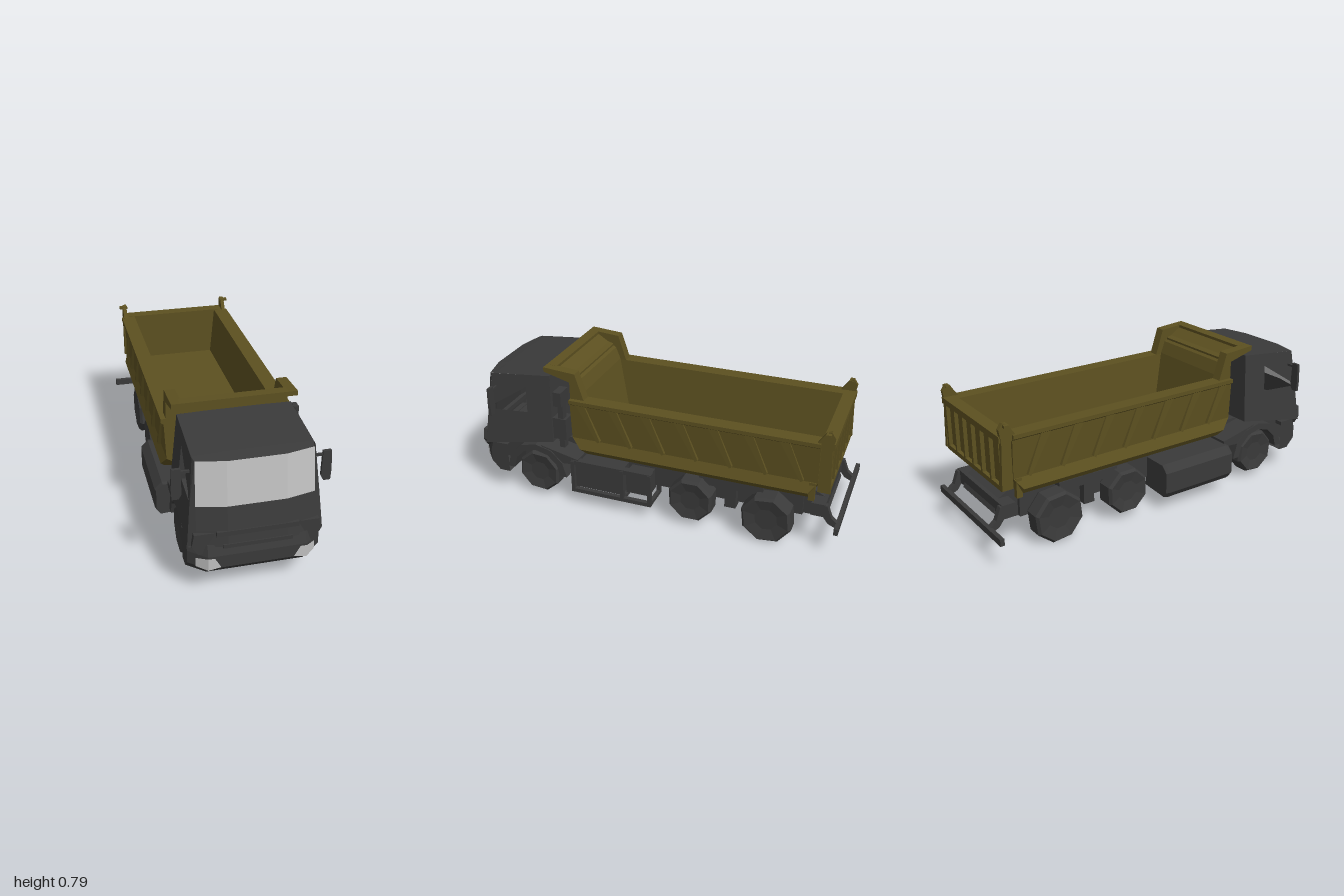
import * as THREE from 'three';

const D = THREE.DoubleSide;
const mat = (name, color) => {
  const m = new THREE.MeshStandardMaterial({ color, side: D, flatShading: true });
  m.name = name;
  return m;
};

export function createModel() {
  const truck = new THREE.Group();
  truck.name = 'dumpTruck';
  const grey = mat('darkGrey', 0x3a3a3a);
  const olive = mat('olive', 0x5c5020);
  const glass = mat('paleGlass', 0xc0c0c0);

  const add = (name, geo, material) => {
    const m = new THREE.Mesh(geo, material);
    m.name = name;
    truck.add(m);
    return m;
  };
  // box given by its minimum and maximum on each axis
  const box = (name, material, x0, x1, y0, y1, z0, z1) => {
    const m = add(name, new THREE.BoxGeometry(x1 - x0, y1 - y0, z1 - z0), material);
    m.position.set((x0 + x1) / 2, (y0 + y1) / 2, (z0 + z1) / 2);
    return m;
  };
  const shapeOf = pts => new THREE.Shape(pts.map(p => new THREE.Vector2(...p)));
  // side outline of [z, y] points, extruded from x0 to x1
  const profile = (name, material, pts, x0, x1) => {
    const g = new THREE.ExtrudeGeometry(shapeOf(pts), { depth: x1 - x0, bevelEnabled: false });
    g.rotateY(-Math.PI / 2).translate(x1, 0, 0);
    return add(name, g, material);
  };
  // surface through rows of [x, y, z] points
  const loft = (name, material, rows) => {
    const n = rows[0].length, idx = [];
    for (let r = 0; r < rows.length - 1; r++)
      for (let c = 0; c < n - 1; c++) {
        const a = r * n + c, b = a + n;
        idx.push(a, a + 1, b, a + 1, b + 1, b);
      }
    const g = new THREE.BufferGeometry();
    g.setAttribute('position', new THREE.Float32BufferAttribute(rows.flat(2), 3));
    g.setIndex(idx);
    const flat = g.toNonIndexed();
    flat.computeVertexNormals();
    return add(name, flat, material);
  };
  const both = fn => [-1, 1].forEach(fn);
  const span = (s, a, b) => (s > 0 ? [a, b] : [-b, -a]);

  // ---- Cab shell ----
  const sideX = y => 0.315 - (y - 0.3) * 0.09;
  const frontRow = (y, z, hw, curve = 0.03) => [
    [-hw, y, z - curve], [-hw * 0.5, y, z], [hw * 0.5, y, z], [hw, y, z - curve]];
  const rows = [frontRow(0.29, 0.995, 0.275), frontRow(0.37, 0.985, 0.275),
    frontRow(0.485, 0.965, 0.274), frontRow(0.7, 0.935, 0.27)];
  loft('cabFront', grey, rows.slice(0, 3));
  loft('windscreen', glass, rows.slice(2));
  loft('cabRoof', grey, [rows[3],
    [[-0.277, 0.706, 0.87], [-0.14, 0.709, 0.87], [0.14, 0.709, 0.87], [0.277, 0.706, 0.87]],
    [[-0.275, 0.737, 0.55], [-0.14, 0.74, 0.55], [0.14, 0.74, 0.55], [0.275, 0.737, 0.55]]]);
  loft('cabBack', grey, [
    [[-0.275, 0.738, 0.55], [0.275, 0.738, 0.55]],
    [[-0.309, 0.37, 0.535], [0.309, 0.37, 0.535]]]);
  loft('cabFloor', grey, [
    [[-0.309, 0.37, 0.535], [0.309, 0.37, 0.535]],
    [[-0.31, 0.29, 0.96], [0.31, 0.29, 0.96]]]);
  both(s => {
    // side wall with an open window
    const wall = shapeOf([[0.95, 0.29], [0.925, 0.485], [0.89, 0.704], [0.87, 0.706],
      [0.55, 0.738], [0.535, 0.37]]);
    wall.holes.push(new THREE.Path([[0.9, 0.5], [0.885, 0.53], [0.69, 0.655], [0.685, 0.515]]
      .map(p => new THREE.Vector2(...p))));
    const g = new THREE.ShapeGeometry(wall), p = g.attributes.position;
    for (let i = 0; i < p.count; i++) p.setXYZ(i, s * sideX(p.getY(i)), p.getY(i), p.getX(i));
    g.computeVertexNormals();
    add('cabSide', g, grey);
    const zs = [0.95, 0.94, 0.925, 0.89];
    loft('cabCorner', grey, rows.map((r, i) => {
      const [x, y, z] = r[3];
      return [[s * x, y, z], [s * sideX(y), i === 3 ? 0.704 : y, zs[i]]];
    }));
    // mirror and its arm
    const head = shapeOf([[0.335, 0.495], [0.367, 0.495], [0.37, 0.55], [0.365, 0.65],
      [0.325, 0.65], [0.322, 0.52]].map(([x, y]) => [s * x, y]));
    const mirror = add('mirror', new THREE.ExtrudeGeometry(head, { depth: 0.015, bevelEnabled: false }), grey);
    mirror.position.z = 0.862;
    box('mirrorArm', grey, ...span(s, 0.28, 0.335), 0.625, 0.637, 0.864, 0.874);
  });

  // ---- Grille and bumper ----
  box('grilleBar', grey, -0.19, 0.19, 0.345, 0.37, 0.96, 0.99);
  box('grilleLip', grey, -0.16, 0.16, 0.285, 0.305, 0.96, 0.998);
  both(s => {
    const cheek = shapeOf([[0.29, 0.36], [0.2, 0.36], [0.15, 0.27], [0.27, 0.25], [0.3, 0.3]]
      .map(([x, y]) => [s * x, y]));
    add('grilleCheek', new THREE.ExtrudeGeometry(cheek, { depth: 0.05, bevelEnabled: false }), grey)
      .position.z = 0.925;
  });
  const bumperRow = (y, z) => [[-0.312, y, 0.82], [-0.312, y, z - 0.07], [-0.23, y, z],
    [0.23, y, z], [0.312, y, z - 0.07], [0.312, y, 0.82]];
  const flatRow = y => bumperRow(y, 0.82).map(p => [p[0], y, 0.82]);
  loft('bumper', grey, [flatRow(0.13), bumperRow(0.13, 0.95), bumperRow(0.18, 0.996),
    bumperRow(0.245, 0.996), bumperRow(0.3, 0.98), flatRow(0.3)]);
  both(s => loft('headlight', glass, [
    [[s * 0.17, 0.185, 1], [s * 0.23, 0.175, 1], [s * 0.28, 0.178, 0.958]],
    [[s * 0.2, 0.238, 1], [s * 0.23, 0.238, 1], [s * 0.28, 0.225, 0.958]]]));

  // ---- Chassis ----
  box('underbody', grey, -0.19, 0.19, 0.15, 0.28, -0.8, 0.9);
  box('crossMember', grey, -0.115, 0.1, 0.125, 0.16, 0.7, 0.9);
  profile('frame', grey, [[0.78, 0.28], [0.72, 0.335], [-0.78, 0.335], [-0.9, 0.27], [-0.93, 0.2],
    [-0.88, 0.15], [-0.8, 0.15], [-0.78, 0.26]], -0.17, 0.17);
  both(s => {
    box('axleBracket', grey, ...span(s, 0.17, 0.23), 0.13, 0.3, -0.46, -0.4);
    box('leafSpring', grey, ...span(s, 0.17, 0.23), 0.24, 0.29, -0.6, -0.26);
    // arch over the front wheel
    const arch = [];
    for (let i = 0; i <= 6; i++) arch.push([0.65 + 0.18 * Math.cos(i * Math.PI / 6), 0.16 + 0.17 * Math.sin(i * Math.PI / 6)]);
    for (let i = 6; i >= 0; i--) arch.push([0.65 + 0.14 * Math.cos(i * Math.PI / 6), 0.16 + 0.135 * Math.sin(i * Math.PI / 6)]);
    profile('frontFender', grey, arch, ...span(s, 0.18, 0.305));
    profile('fenderTail', grey, [[0.62, 0.33], [0.4, 0.28], [0.4, 0.25], [0.53, 0.24]], ...span(s, 0.17, 0.3));
  });

  // ---- Wheels: [z, y, radius] ----
  const wheelWidth = 0.112;
  [[0.645, 0.155, 0.125], [-0.23, 0.16, 0.125], [-0.635, 0.138, 0.137]].forEach(([z, y, r], i) => both(s => {
    const pts = [[0, 0], [r * 0.92, 0], [r, 0.02], [r, wheelWidth - 0.015], [r * 0.9, wheelWidth],
      [r * 0.45, wheelWidth - 0.012], [0, wheelWidth - 0.012]];
    const g = new THREE.LatheGeometry(pts.map(p => new THREE.Vector2(...p)), 8);
    g.rotateY(0.3 + i * 0.1).rotateZ(-s * Math.PI / 2);
    add('wheel', g, grey).position.set(s * 0.184, y, z);
  }));

  // ---- Fuel tank (right) and equipment rack (left) ----
  const tank = shapeOf([[-0.18, 0.1], [-0.34, 0.09], [-0.36, 0.12], [-0.36, 0.23], [-0.325, 0.265], [-0.18, 0.265]]);
  add('fuelTank', new THREE.ExtrudeGeometry(tank, { depth: 0.41, bevelThickness: 0.02, bevelSize: 0.005, bevelSegments: 1 }), grey)
    .position.z = -0.02;
  box('batteryBox', grey, 0.18, 0.29, 0.11, 0.26, 0.15, 0.43);
  box('airTank', grey, 0.18, 0.28, 0.13, 0.25, 0.0, 0.13);
  box('rackTopRail', grey, 0.27, 0.305, 0.25, 0.275, -0.02, 0.44);
  box('rackLowRail', grey, 0.285, 0.31, 0.083, 0.105, -0.02, 0.44);
  [-0.02, 0.135, 0.42].forEach(z => {
    box('rackPost', grey, 0.285, 0.31, 0.085, 0.27, z, z + 0.02);
    box('rackArm', grey, 0.15, 0.3, 0.085, 0.105, z, z + 0.02);
    box('rackHanger', grey, 0.15, 0.17, 0.085, 0.16, z, z + 0.02);
  });

  // ---- Intake stack behind the cab ----
  box('intakeHead', grey, 0.25, 0.335, 0.6, 0.68, 0.46, 0.505);
  box('intakePipe', grey, 0.27, 0.31, 0.35, 0.6, 0.465, 0.495);
  box('intakeFilter', grey, 0.24, 0.315, 0.4, 0.52, 0.45, 0.525);

  // ---- Dump body: trough section run lengthwise, lower ends cut back ----
  const half = [[0.2, 0.335], [0.305, 0.336], [0.326, 0.366], [0.304, 0.42], [0.314, 0.615], [0.328, 0.625],
    [0.328, 0.645], [0.25, 0.645], [0.225, 0.372]];
  const trough = new THREE.ExtrudeGeometry(
    shapeOf([...half, ...half.map(([x, y]) => [-x, y]).reverse()]), { depth: 1.3, bevelEnabled: false });
  trough.translate(0, 0, -0.88);
  const tp = trough.attributes.position;
  for (let i = 0; i < tp.count; i++) {
    const y = tp.getY(i);
    if (y < 0.37) tp.setZ(i, tp.getZ(i) > 0 ? 0.42 - (0.42 - y) * 0.94 : -0.84);
  }
  trough.computeVertexNormals();
  add('dumpBody', trough, olive);
  profile('bodyFrontWall', olive, [[0.32, 0.36], [0.38, 0.65], [0.405, 0.715], [0.51, 0.78], [0.51, 0.795],
    [0.565, 0.798], [0.565, 0.774], [0.42, 0.735], [0.421, 0.42], [0.341, 0.338]], -0.26, 0.26);
  both(s => {
    profile('canopyWing', olive, [[0.565, 0.798], [0.39, 0.785], [0.345, 0.645], [0.421, 0.645],
      [0.421, 0.735], [0.565, 0.774]], ...span(s, 0.25, 0.303));
    // slanted tapering ribs on the side wall
    for (let i = 0; i < 7; i++) {
      const z = 0.37 - i * 0.178;
      profile('sideRib', olive, [[z + 0.015, 0.625], [z - 0.035, 0.625], [z - 0.115, 0.43], [z - 0.1, 0.42]],
        ...span(s, 0.3, 0.322));
    }
    // rear corner post with its latch
    profile('cornerPost', olive, [[-0.86, 0.64], [-0.9, 0.7], [-0.925, 0.71], [-0.945, 0.68], [-0.935, 0.62],
      [-0.945, 0.38], [-0.925, 0.38], [-0.9, 0.6]], ...span(s, 0.295, 0.316));
    box('latchPin', olive, ...span(s, 0.29, 0.335), 0.69, 0.703, -0.925, -0.9);
    box('lowerLatch', olive, ...span(s, 0.285, 0.31), 0.32, 0.42, -0.87, -0.84);
    profile('liftBracket', olive, [[0.08, 0.34], [0.01, 0.34], [0.05, 0.285]], ...span(s, 0.17, 0.2));
    profile('hinge', olive, [[-0.6, 0.34], [-0.83, 0.34], [-0.8, 0.285], [-0.74, 0.3]], ...span(s, 0.17, 0.2));
  });

  // ---- Tailgate ----
  box('tailgate', olive, -0.3, 0.3, 0.375, 0.64, -0.92, -0.88);
  box('tailgateTop', olive, -0.31, 0.31, 0.615, 0.647, -0.945, -0.88);
  box('tailgateBottom', olive, -0.3, 0.3, 0.37, 0.395, -0.94, -0.88);
  for (let i = 0; i < 7; i++) {
    const x = -0.285 + i * 0.095;
    box('tailgateRib', olive, x - 0.008, x + 0.008, 0.38, 0.63, -0.94, -0.9);
  }

  // ---- Rear under-run bar ----
  box('rearBar', grey, -0.375, 0.3, 0.14, 0.175, -1, -0.978);
  both(s => profile('rearBarArm', grey, [[-0.88, 0.27], [-0.93, 0.265], [-0.955, 0.2], [-0.985, 0.175],
    [-0.985, 0.145], [-0.94, 0.165], [-0.91, 0.205]], ...span(s, 0.22, 0.25)));
  box('rearCrossBeam', grey, -0.25, 0.25, 0.2, 0.27, -0.92, -0.85);

  return truck;
}
